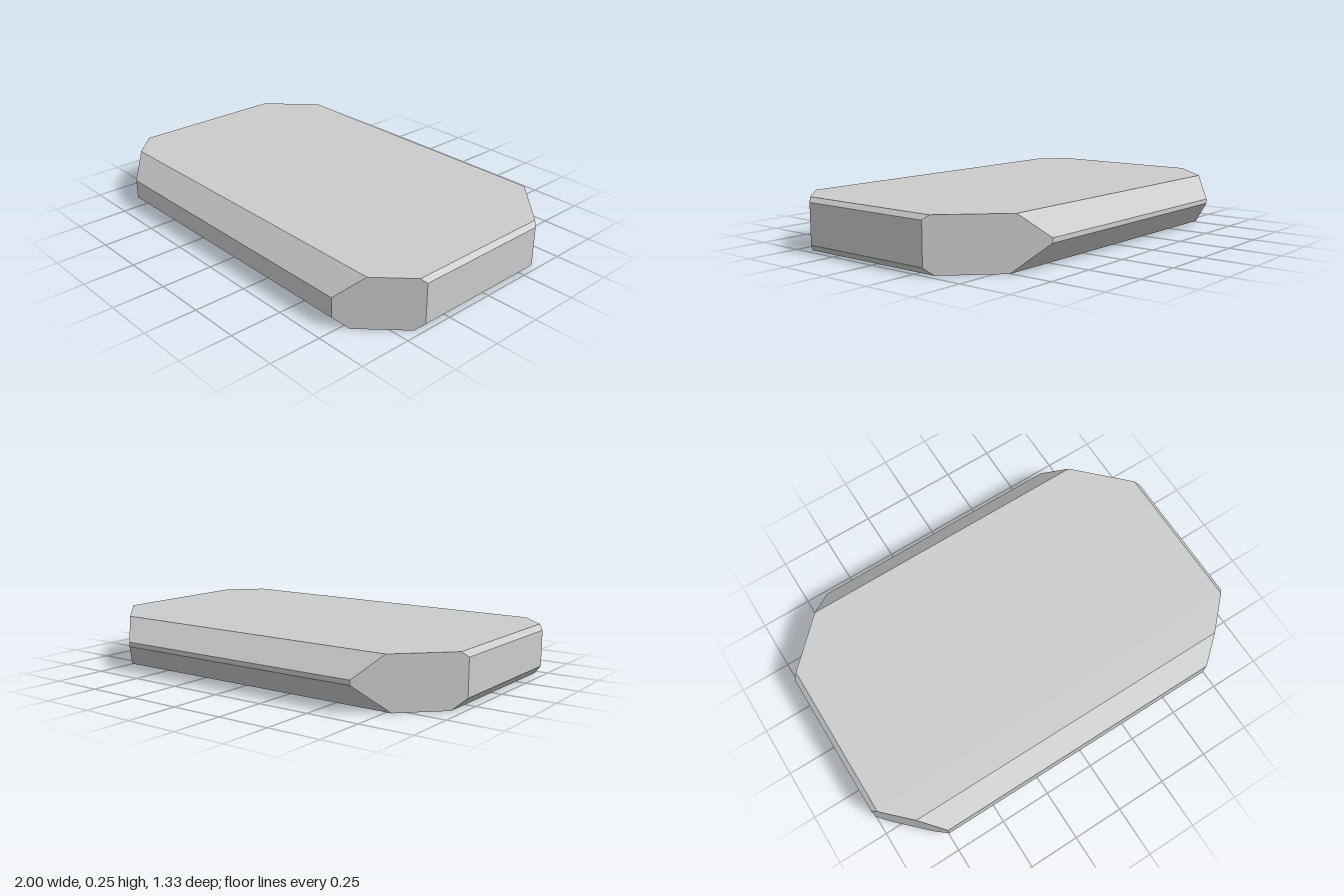
import * as THREE from 'three';

const HEIGHT = 0.246;

// Each side: distance from the centre, and size of its 45-degree lower and upper bevels
const SIDES = {
  left: { reach: 1, low: 0.033, high: 0.021 },
  right: { reach: 1, low: 0.05, high: 0.024 },
  front: { reach: 0.667, low: 0.052, high: 0.1 },
  back: { reach: 0.667, low: 0.122, high: 0.102 },
};

// Diagonal corner cuts: |x| + |z| on each vertical corner face
const CUT = { frontLeft: 1.397, frontRight: 1.415, backLeft: 1.3, backRight: 1.32 };

function reachAt({ reach, low, high }, y) {
  return reach - Math.max(0, low - y) - Math.max(0, y - (HEIGHT - high));
}

// Eight-cornered outline of the slab at height y
function outline(y) {
  const l = reachAt(SIDES.left, y);
  const r = reachAt(SIDES.right, y);
  const f = reachAt(SIDES.front, y);
  const b = reachAt(SIDES.back, y);
  return [
    [l, CUT.frontLeft - l], [CUT.frontLeft - f, f],
    [f - CUT.frontRight, f], [-r, CUT.frontRight - r],
    [-r, r - CUT.backRight], [b - CUT.backRight, -b],
    [CUT.backLeft - b, -b], [l, l - CUT.backLeft],
  ].map(([x, z]) => new THREE.Vector3(x, y, z));
}

function slabGeometry() {
  // One outline wherever a bevel begins or ends
  const heights = new Set([0, HEIGHT]);
  for (const s of Object.values(SIDES)) heights.add(s.low).add(HEIGHT - s.high);
  const rings = [...heights].sort((a, b) => a - b).map(outline);

  const points = [];
  // Side walls between neighbouring outlines
  for (let k = 0; k < rings.length - 1; k++) {
    const lower = rings[k], upper = rings[k + 1];
    for (let i = 0; i < 8; i++) {
      const j = (i + 1) % 8;
      points.push(lower[i], upper[i], upper[j], lower[i], upper[j], lower[j]);
    }
  }
  // Flat bottom and top
  const bottom = rings[0], top = rings[rings.length - 1];
  for (let i = 1; i < 7; i++) {
    points.push(bottom[0], bottom[i], bottom[i + 1]);
    points.push(top[0], top[i + 1], top[i]);
  }

  const geometry = new THREE.BufferGeometry().setFromPoints(points);
  geometry.computeVertexNormals();
  return geometry;
}

export function createModel() {
  const group = new THREE.Group();
  group.name = 'bevelledSlab';
  const material = new THREE.MeshStandardMaterial({ color: 0xcccccc, flatShading: true });
  const slab = new THREE.Mesh(slabGeometry(), material);
  slab.name = 'slab';
  group.add(slab);
  return group;
}
